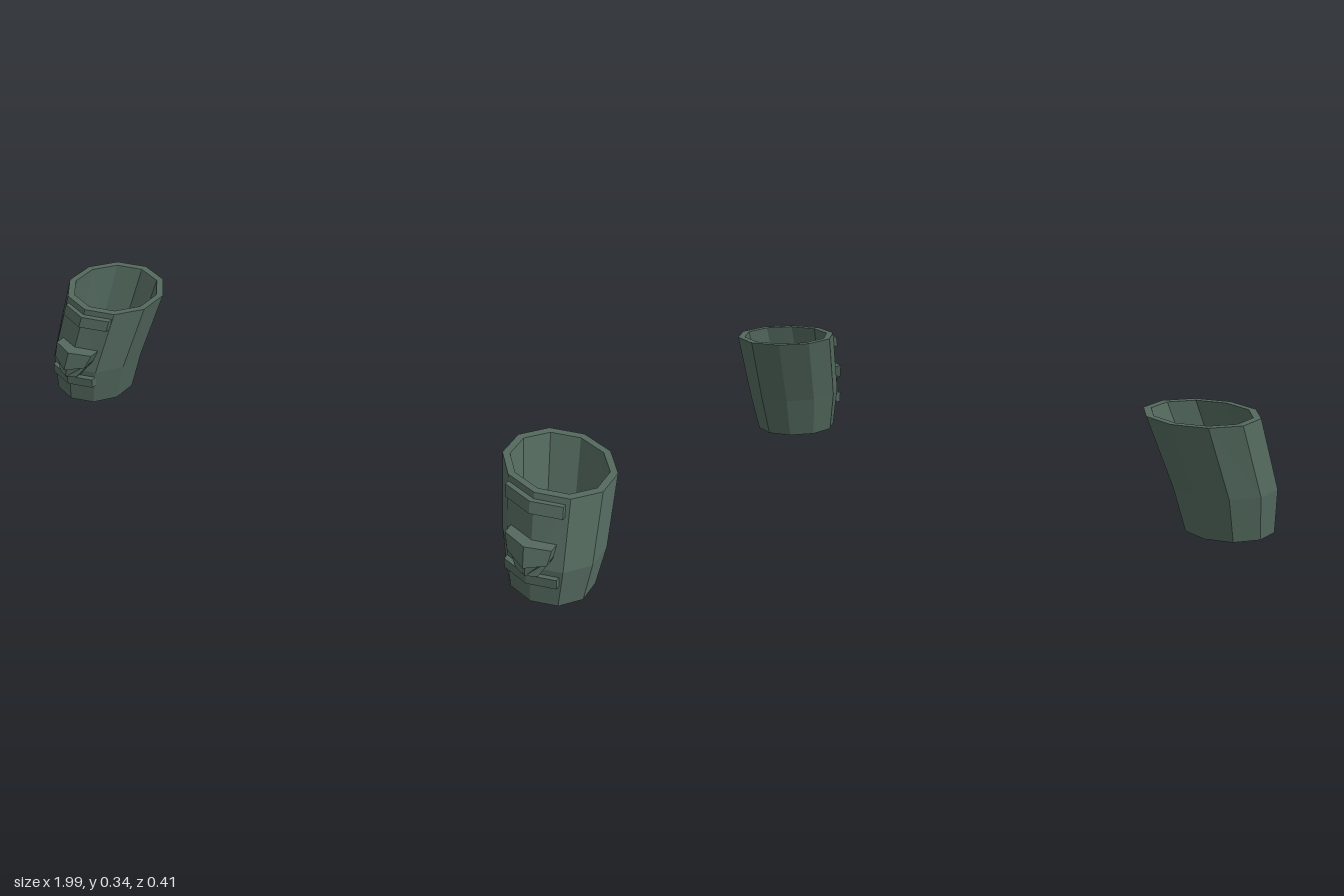
import * as THREE from 'three';

const SIDES = 10, WALL = 0.022;
// cross-sections of the sleeve: height, centre x, centre z, radius x, radius z
const RINGS = [
  [0, 0.864, 0.038, 0.130, 0.130],
  [0.13, 0.853, 0.021, 0.151, 0.151],
  [0.343, 0.813, -0.047, 0.166, 0.157],
];

const material = new THREE.MeshStandardMaterial({ color: 0x53695e, flatShading: true });

// interpolated cross-section at height y
function sectionAt(y) {
  const i = y < RINGS[1][0] ? 0 : 1;
  const a = RINGS[i], b = RINGS[i + 1];
  const t = (y - a[0]) / (b[0] - a[0]);
  return a.map((v, k) => v + (b[k] - v) * t);
}

// collects quads and triangles; mirrors x and the winding for side -1
function makeMesh(name, side, build) {
  const pos = [];
  const tri = (a, b, c) => {
    for (const p of side > 0 ? [a, b, c] : [a, c, b]) pos.push(p[0] * side, p[1], p[2]);
  };
  const quad = (a, b, c, d) => { tri(a, b, c); tri(a, c, d); };
  build(tri, quad);
  const geo = new THREE.BufferGeometry();
  geo.setAttribute('position', new THREE.Float32BufferAttribute(pos, 3));
  geo.computeVertexNormals();
  const mesh = new THREE.Mesh(geo, material);
  mesh.name = name;
  return mesh;
}

// hollow ten-sided tube with a bend
function sleeve(side) {
  const ring = ([y, cx, cz, rx, rz], inset) => Array.from({ length: SIDES }, (_, i) => {
    const a = i / SIDES * Math.PI * 2;
    return [cx + Math.sin(a) * (rx - inset), y, cz + Math.cos(a) * (rz - inset)];
  });
  const outer = RINGS.map(r => ring(r, 0));
  const inner = RINGS.map(r => ring(r, WALL));
  // closed loop of rings: up the outside, over the rim, down the inside
  const loop = [...outer, ...inner.reverse()];
  return makeMesh('sleeve', side, (tri, quad) => {
    loop.forEach((lo, k) => {
      const hi = loop[(k + 1) % loop.length];
      for (let i = 0; i < SIDES; i++) {
        const j = (i + 1) % SIDES;
        quad(lo[i], lo[j], hi[j], hi[i]);
      }
    });
  });
}

// plate folded over the front ridge; half outline of [x, y, thickness],
// running from the bottom of the centre line round to its top
function plate(name, side, half) {
  const point = (x, y, out) => {
    const [, cx, cz, , rz] = sectionAt(y);
    return [cx - 0.005 + x, y, cz + rz - 0.32 * Math.abs(x) + out];
  };
  return makeMesh(name, side, (tri, quad) => {
    for (const m of [1, -1]) {
      const front = half.map(([x, y, o]) => point(m * x, y, o));
      const back = half.map(([x, y]) => point(m * x, y, -0.004));
      for (let i = 0; i < half.length - 1; i++) {
        const j = i + 1;
        if (m > 0) {
          if (i) tri(front[0], front[i], front[j]);
          quad(front[i], back[i], back[j], front[j]);
        } else {
          if (i) tri(front[0], front[j], front[i]);
          quad(front[i], front[j], back[j], back[i]);
        }
      }
    }
  });
}

const strap = (w, bottom, top) => [
  [0, bottom, 0.016], [w, bottom, 0.016], [w, top, 0.016], [0, top, 0.016],
];

function createModel() {
  const model = new THREE.Group();
  model.name = 'shinGuards';
  for (const side of [1, -1]) {
    const guard = new THREE.Group();
    guard.name = side > 0 ? 'leftGuard' : 'rightGuard';
    guard.add(
      sleeve(side),
      plate('upperStrap', side, strap(0.09, 0.29, 0.325)),
      plate('lowerStrap', side, strap(0.083, 0.077, 0.11)),
      // shield with a pointed lower edge
      plate('shieldPlate', side, [
        [0, 0.145, 0.037], [0.063, 0.163, 0.034], [0.073, 0.208, 0.034], [0, 0.208, 0.038],
      ]),
      // chevron with raised wing tips below the shield
      plate('chevronPlate', side, [
        [0, 0.111, 0.023], [0.036, 0.118, 0.023], [0.068, 0.173, 0.02],
        [0.036, 0.15, 0.023], [0, 0.148, 0.025],
      ]),
    );
    model.add(guard);
  }
  return model;
}

export { createModel };
